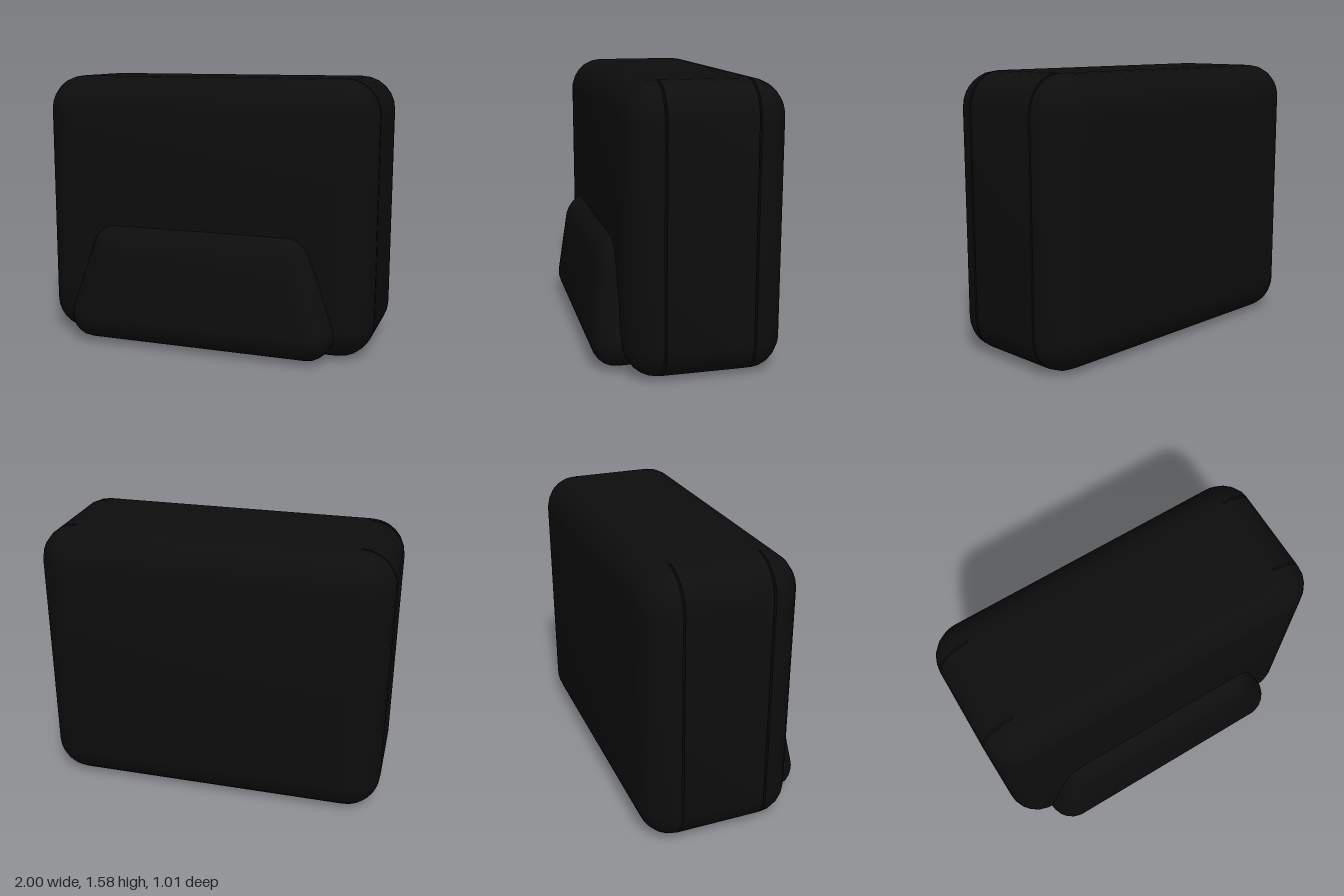
import * as THREE from 'three';
import { toCreasedNormals } from 'three/addons/utils/BufferGeometryUtils.js';

const SEG = 6;
const material = new THREE.MeshStandardMaterial({ color: 0x0d0d0d });

// Closed loft: each ring [r, z] is the outline at distance r around the corner centres.
// corners: [x, y, startAngle, endAngle] counter-clockwise; lean tilts z with height.
function loft(corners, rings, lean = 0, y0 = 0) {
  const pos = [], index = [];
  const n = corners.length * (SEG + 1);
  const put = (x, y, z) => pos.push(x, y, z - lean * (y - y0));
  for (const [r, z] of rings) {
    for (const [cx, cy, a0, a1] of corners) {
      for (let s = 0; s <= SEG; s++) {
        const a = a0 + (a1 - a0) * s / SEG;
        put(cx + r * Math.cos(a), cy + r * Math.sin(a), z);
      }
    }
  }
  const last = (rings.length - 1) * n;
  const cy = corners.reduce((sum, c) => sum + c[1], 0) / corners.length;
  const back = pos.length / 3, front = back + 1;
  put(0, cy, rings[0][1]);
  put(0, cy, rings[rings.length - 1][1]);
  for (let i = 0; i < n; i++) {
    const j = (i + 1) % n;
    for (let k = 0; k < last; k += n) {
      index.push(k + i, k + j, k + n + j, k + i, k + n + j, k + n + i);
    }
    index.push(back, j, i, front, last + i, last + j);
  }
  const g = new THREE.BufferGeometry();
  g.setAttribute('position', new THREE.Float32BufferAttribute(pos, 3));
  g.setIndex(index);
  return toCreasedNormals(g, 0.7);
}

// Left-right symmetric set of four rounded corners; slant is the tilt of the sides
function corners(xBottom, yBottom, xTop, yTop, slant = 0) {
  const q = Math.PI / 2;
  return [
    [xBottom, yBottom, -q, slant],
    [xTop, yTop, slant, q],
    [-xTop, yTop, q, 2 * q - slant],
    [-xBottom, yBottom, 2 * q - slant, 3 * q],
  ];
}

// Quarter-round rings from radius r at z to nothing at z + depth
function roundOver(r, z, depth) {
  return Array.from({ length: SEG + 1 }, (_, i) => {
    const t = i / SEG * Math.PI / 2;
    return [i === SEG ? 0 : r * Math.cos(t), z + depth * Math.sin(t)];
  });
}

export function createModel() {
  const model = new THREE.Group();
  const add = (name, geometry) => {
    const mesh = new THREE.Mesh(geometry, material);
    mesh.name = name;
    model.add(mesh);
    return mesh;
  };

  // Main case: straight middle band between two rounded shells with a thin groove
  const body = corners(0.8, 0.2, 0.8, 1.38);
  add('middleBand', loft(body, [[0.2, -0.31], [0.2, 0.165]]));
  add('frontShell', loft(body, [[0.1, 0.165], ...roundOver(0.2, 0.178, 0.187)]));
  add('backShell', loft(body, [...roundOver(0.2, -0.322, -0.183).reverse(), [0.1, -0.31]]));

  // The flat top runs across the grooves without a break
  const top = add('topPanel', new THREE.BoxGeometry(1.6, 0.18, 0.5));
  top.position.set(0, 1.49, -0.072);

  // Leaning trapezoid pocket on the lower front
  const pocket = corners(0.657, 0.165, 0.525, 0.57, 0.314);
  add('frontPocket', loft(pocket, [[0.15, 0.24], ...roundOver(0.15, 0.355, 0.15)], 0.1, 0.165));

  return model;
}
